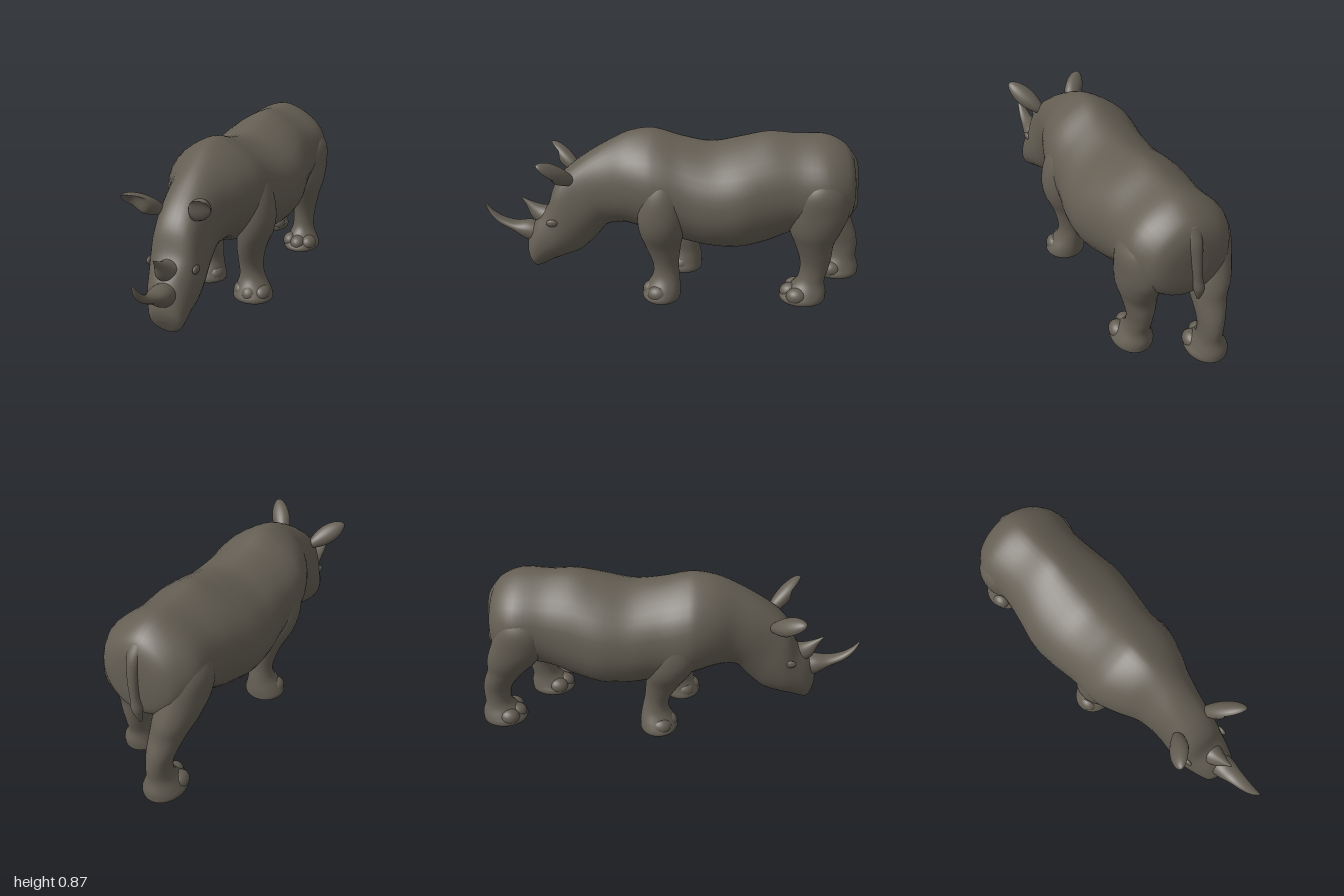
import * as THREE from 'three';

const SEG = 40, SUB = 5;

// Catmull-Rom interpolation of every column of a station list
function refine(rows) {
  const out = [];
  const at = (i) => rows[Math.min(rows.length - 1, Math.max(0, i))];
  for (let i = 0; i < rows.length - 1; i++) {
    for (let s = 0; s < SUB; s++) {
      const t = s / SUB, [a, b, c, d] = [at(i - 1), at(i), at(i + 1), at(i + 2)];
      out.push(b.map((_, k) => 0.5 * (2 * b[k] + (c[k] - a[k]) * t
        + (2 * a[k] - 5 * b[k] + 4 * c[k] - d[k]) * t * t
        + (3 * b[k] - a[k] - 3 * c[k] + d[k]) * t * t * t)));
    }
  }
  out.push(rows[rows.length - 1]);
  return out;
}

// Skin over cross-sections: [zTop, yTop, zBottom, yBottom, halfWidth, x, peak]
// peak above 0 makes a ridge along the top, below 0 a flat, broad top
function loft(stations, mid = 0.5) {
  const rows = refine(stations), pos = [], idx = [];
  const ring = ([zt, yt, zb, yb, w, x, peak = 0], size) => {
    for (let j = 0; j < SEG; j++) {
      const a = (j / SEG) * Math.PI * 2, s = Math.sin(a), c = Math.cos(a);
      const f = mid + size * s * (s > 0 ? 1 - mid : mid);
      const narrow = s > 0 ? 1 - peak * s ** 4 : 1;
      pos.push(x + w * c * narrow * size, yb + (yt - yb) * f, zb + (zt - zb) * f);
    }
  };
  ring(rows[0], 0.001);
  rows.forEach((r) => ring(r, 1));
  ring(rows[rows.length - 1], 0.001);
  for (let i = 0; i < rows.length + 1; i++) {
    for (let j = 0; j < SEG; j++) {
      const a = i * SEG + j, b = i * SEG + (j + 1) % SEG;
      idx.push(a, b, b + SEG, a, b + SEG, a + SEG);
    }
  }
  const g = new THREE.BufferGeometry();
  g.setAttribute('position', new THREE.Float32BufferAttribute(pos, 3));
  g.setIndex(idx);
  g.computeVertexNormals();
  return g;
}

// Leg rows: [y, zFront, zBack, x, halfWidth]; stride and lean move the foot
function legGeometry(rows, side, stride, lean) {
  return loft(rows.map(([y, zf, zb, x, w]) => {
    const f = Math.max(0, 1 - (y / 0.55) ** 2);
    return [zf + stride * f, y, zb + stride * f, y, w, x * side + lean * f];
  }));
}

// Ear growing from the origin along +y: round stalk, then a leaf hollow towards +z
function earGeometry(length) {
  const g = new THREE.SphereGeometry(1, 28, 24), p = g.attributes.position;
  for (let i = 0; i < p.count; i++) {
    const t = (p.getY(i) + 1) / 2, wide = 0.75 + 0.4 * Math.sin(t * Math.PI * 0.75);
    const z = p.getZ(i), dent = 1.4 * THREE.MathUtils.smoothstep(t, 0.45, 0.75);
    p.setXYZ(i, p.getX(i) * 0.045 * wide, t * length, (z > 0 ? z * (1 - dent) : z) * 0.04);
  }
  g.computeVertexNormals();
  return g;
}

export function createModel() {
  const model = new THREE.Group();
  model.name = 'rhinoceros';
  const hide = new THREE.MeshStandardMaterial({ color: 0x645e53 });
  hide.name = 'grey brown hide';
  const add = (name, geometry, parent = model) => {
    const m = new THREE.Mesh(geometry, hide);
    m.name = name;
    parent.add(m);
    return m;
  };

  // Trunk, neck and head in one skin from rump to lips
  add('bodyAndHead', loft([
    [-0.90, 0.67, -0.905, 0.52, 0.06, 0, 0.1],
    [-0.885, 0.75, -0.895, 0.45, 0.15, 0, 0.15],
    [-0.84, 0.815, -0.86, 0.41, 0.21, 0, 0.25],
    [-0.74, 0.86, -0.76, 0.385, 0.258, 0, 0.35],
    [-0.60, 0.862, -0.60, 0.35, 0.25, 0, 0.4],
    [-0.46, 0.87, -0.46, 0.29, 0.27, 0, 0.42],
    [-0.33, 0.84, -0.32, 0.26, 0.295, 0, 0.35],
    [-0.18, 0.81, -0.18, 0.265, 0.285, 0, 0.3],
    [-0.03, 0.835, -0.05, 0.285, 0.262, -0.005, 0.33],
    [0.08, 0.868, 0.08, 0.31, 0.26, -0.01, 0.4],
    [0.15, 0.875, 0.16, 0.345, 0.248, -0.012, 0.42],
    [0.25, 0.855, 0.25, 0.37, 0.212, -0.008, 0.35],
    [0.36, 0.80, 0.31, 0.365, 0.17, 0, 0.15],
    [0.47, 0.73, 0.36, 0.35, 0.148, 0.003, -0.15],
    [0.57, 0.65, 0.42, 0.28, 0.136, 0.008, -0.45],
    [0.63, 0.57, 0.50, 0.205, 0.135, 0.014, -0.45],
    [0.67, 0.46, 0.58, 0.175, 0.13, 0.022, -0.35],
    [0.73, 0.385, 0.65, 0.15, 0.113, 0.032, -0.15],
    [0.77, 0.31, 0.70, 0.127, 0.096, 0.042, 0],
    [0.785, 0.24, 0.73, 0.118, 0.078, 0.047, 0],
    [0.775, 0.19, 0.745, 0.13, 0.042, 0.048, 0],
  ], 0.47));

  // Legs: shoulder or thigh down to the splayed foot
  const frontRows = [
    [0.74, 0.10, 0.02, 0.155, 0.03], [0.62, 0.16, -0.03, 0.175, 0.08],
    [0.50, 0.185, -0.05, 0.187, 0.092], [0.40, 0.18, -0.045, 0.178, 0.09],
    [0.30, 0.15, -0.03, 0.15, 0.075], [0.20, 0.115, -0.02, 0.138, 0.064],
    [0.13, 0.115, -0.025, 0.145, 0.066], [0.07, 0.15, -0.03, 0.157, 0.09],
    [0.035, 0.168, -0.03, 0.16, 0.105], [0.015, 0.165, -0.028, 0.16, 0.102],
    [0.005, 0.145, -0.015, 0.16, 0.085],
  ];
  const hindRows = [
    [0.74, -0.68, -0.78, 0.16, 0.04], [0.64, -0.60, -0.84, 0.168, 0.1],
    [0.52, -0.57, -0.865, 0.165, 0.107], [0.42, -0.575, -0.835, 0.16, 0.1],
    [0.34, -0.605, -0.805, 0.15, 0.085], [0.26, -0.635, -0.80, 0.145, 0.069],
    [0.19, -0.645, -0.79, 0.143, 0.059], [0.12, -0.63, -0.775, 0.145, 0.063],
    [0.065, -0.575, -0.785, 0.15, 0.087], [0.035, -0.548, -0.785, 0.15, 0.102],
    [0.015, -0.55, -0.782, 0.15, 0.098], [0.005, -0.57, -0.765, 0.15, 0.082],
  ];
  const legs = [
    ['leftFrontLeg', frontRows, 1, 0, 0.014, 0.16, 0.115],
    ['rightFrontLeg', frontRows, -1, -0.11, 0.012, 0.16, 0.115],
    ['leftHindLeg', hindRows, 1, 0, 0.016, 0.15, -0.6],
    ['rightHindLeg', hindRows, -1, -0.215, 0.032, 0.15, -0.6],
  ];
  for (const [name, rows, side, stride, lean, x, z] of legs) {
    const group = new THREE.Group();
    group.name = name;
    model.add(group);
    add('leg', legGeometry(rows, side, stride, lean), group);
    // Three broad toes
    for (const k of [-1, 0, 1]) {
      const toe = add('toe', new THREE.SphereGeometry(1, 20, 14), group);
      toe.scale.set(0.045, 0.044, 0.054);
      toe.position.set(x * side + lean + k * 0.055, 0.052, z + stride - (k ? 0.03 : 0.002));
    }
  }

  // Horns rising from inside the snout, with the concave side listed first
  add('largeHorn', loft([
    [0.69, 0.35, 0.72, 0.24, 0.062, 0.04], [0.765, 0.37, 0.795, 0.27, 0.058, 0.042],
    [0.84, 0.365, 0.86, 0.318, 0.042, 0.043], [0.905, 0.385, 0.93, 0.355, 0.03, 0.042],
    [0.955, 0.42, 0.975, 0.405, 0.018, 0.041], [0.992, 0.464, 0.998, 0.46, 0.005, 0.04],
  ]));
  add('smallHorn', loft([
    [0.62, 0.45, 0.69, 0.34, 0.07, 0.025], [0.69, 0.452, 0.755, 0.385, 0.042, 0.027],
    [0.755, 0.474, 0.782, 0.45, 0.018, 0.027], [0.803, 0.498, 0.807, 0.494, 0.003, 0.027],
  ]));

  // Ears and shallow eyelids on both sides
  for (const side of [1, -1]) {
    const label = side > 0 ? 'left' : 'right';
    const base = new THREE.Vector3(side * 0.075, 0.605, 0.515);
    const tip = new THREE.Vector3(side * 0.21, side > 0 ? 0.75 : 0.715, 0.675);
    const along = tip.clone().sub(base);
    const ear = add(label + 'Ear', earGeometry(along.length()));
    const y = along.normalize();
    const x = y.clone().cross(new THREE.Vector3(side * 0.35, 0, 1)).normalize();
    ear.quaternion.setFromRotationMatrix(new THREE.Matrix4().makeBasis(x, y, x.clone().cross(y)));
    ear.position.copy(base);

    const lid = add(label + 'Eyelid', new THREE.SphereGeometry(1, 18, 12));
    lid.scale.set(0.012, 0.02, 0.03);
    lid.position.set(0.022 + side * 0.12, 0.405, 0.632);
  }

  // Tail hanging against the rump
  add('tail', loft([
    [-0.82, 0.79, -0.865, 0.79, 0.034, 0], [-0.86, 0.72, -0.91, 0.72, 0.032, 0],
    [-0.88, 0.62, -0.928, 0.62, 0.026, -0.004], [-0.89, 0.53, -0.934, 0.53, 0.022, -0.012],
    [-0.89, 0.47, -0.94, 0.47, 0.026, -0.02], [-0.90, 0.40, -0.915, 0.40, 0.008, -0.028],
  ]));

  return model;
}
